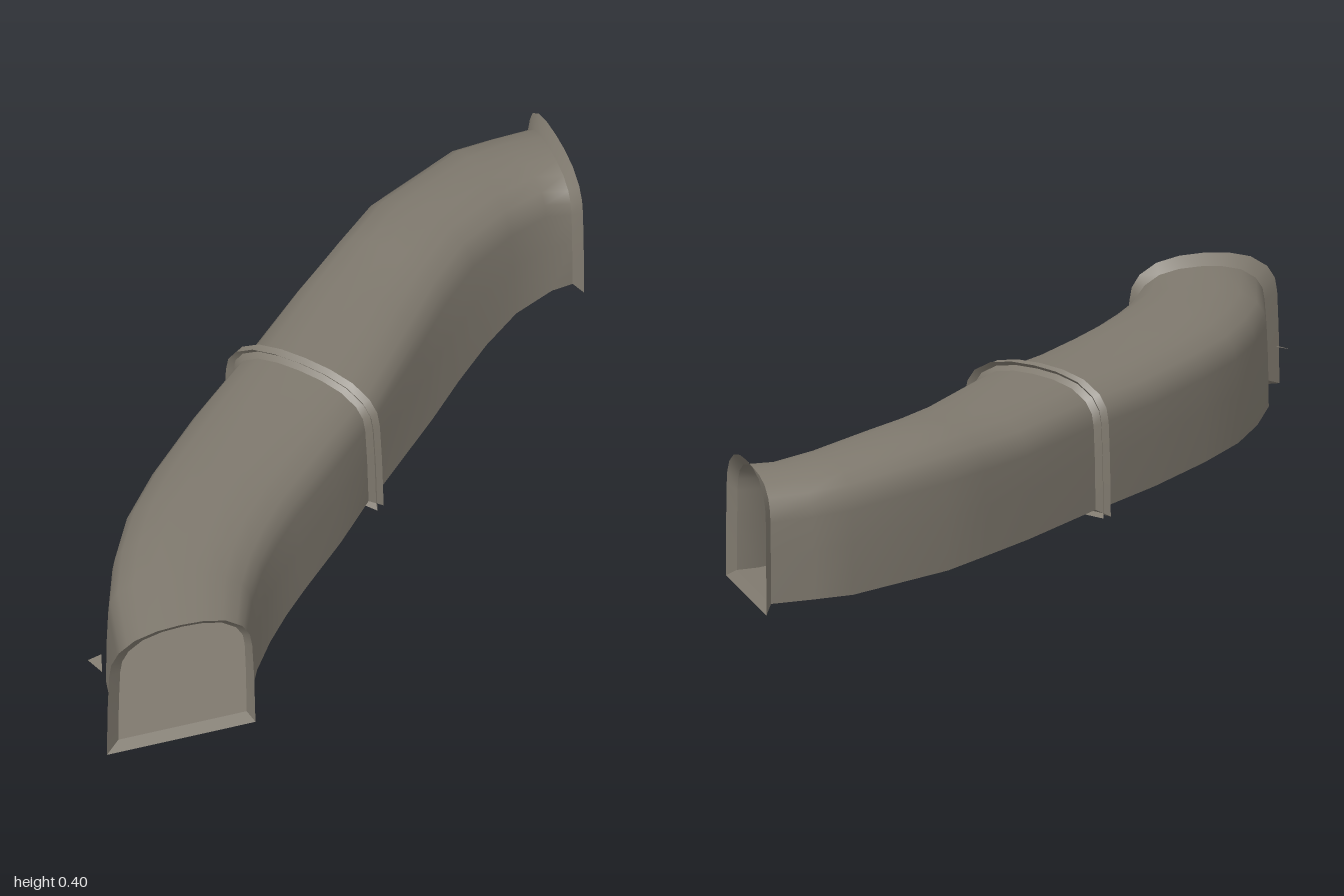
import * as THREE from 'three';

// Half-arch cross-section: [fraction across, fraction of height]
const half = [[0, 0], [0.005, 0.4], [0.015, 0.68], [0.03, 0.78], [0.08, 0.87], [0.19, 0.95], [0.34, 0.99]];
const arch = [...half, [0.5, 1], ...half.map(([u, h]) => [1 - u, h]).reverse()];
const floorLine = [[1, 0], [0, 0]];

// Station: [outer x, outer z, inner x, inner z, base y, top y, inward lean of inner wall]
const frontMouth = [-0.955, 0.97, -0.575, 0.97, 0.02, 0.36, 0];
const frontRim = [-1, 1, -0.56, 1, 0, 0.39, 0.01];
const backMouth = [0.975, -0.955, 0.975, -0.585, 0.02, 0.36, 0.01];
const backRim = [1, -1, 1, -0.56, 0, 0.39, 0.01];

// Joint between the two pipes, moved along the axis and widened
function joint(along, grow, base, top) {
  const ax = 0.826, az = -0.565, cx = 0.565, cz = 0.826;
  return [-0.16 + ax * along - cx * grow, -0.22 + az * along - cz * grow,
    0.1 + ax * along + cx * grow, 0.16 + az * along + cz * grow, base, top, 0.015];
}

const frontPipe = [
  frontMouth,
  [-0.89, 0.7, -0.48, 0.8, 0.02, 0.365, 0.03],
  [-0.81, 0.52, -0.4, 0.69, 0.02, 0.37, 0.05],
  [-0.71, 0.35, -0.315, 0.59, 0.02, 0.37, 0.06],
  [-0.57, 0.18, -0.22, 0.49, 0.02, 0.37, 0.07],
  [-0.37, -0.03, -0.05, 0.32, 0.02, 0.365, 0.06],
  joint(-0.015, 0, 0.02, 0.37, 0.015),
];
const backPipe = [
  joint(0.015, 0, 0.02, 0.37, 0.015),
  [0.11, -0.48, 0.39, -0.13, 0.02, 0.37, 0.1],
  [0.27, -0.62, 0.52, -0.27, 0.02, 0.38, 0.13],
  [0.41, -0.74, 0.65, -0.4, 0.02, 0.388, 0.13],
  [0.73, -0.92, 0.78, -0.51, 0.02, 0.375, 0.1],
  [0.85, -0.94, 0.91, -0.575, 0.02, 0.365, 0.1],
  backMouth,
];

// Skin a cross-section line through a run of stations
function loft(stations, line) {
  const pos = [], index = [], n = line.length;
  stations.forEach(([ox, oz, ix, iz, base, top, lean], s) => {
    line.forEach(([u, h], k) => {
      const v = u * (1 - lean * h);
      pos.push(ox + (ix - ox) * v, base + (top - base) * h, oz + (iz - oz) * v);
      if (s && k) {
        const d = s * n + k, c = d - 1, b = d - n, a = b - 1;
        index.push(a, b, c, b, d, c);
      }
    });
  });
  const g = new THREE.BufferGeometry();
  g.setAttribute('position', new THREE.Float32BufferAttribute(pos, 3));
  g.setIndex(index);
  g.computeVertexNormals();
  return g;
}

export function createModel() {
  const group = new THREE.Group();
  const metal = new THREE.MeshStandardMaterial({ color: 0x7f796e, side: THREE.DoubleSide });
  metal.name = 'greyBrownMetal';

  const add = (name, geometry) => {
    const mesh = new THREE.Mesh(geometry, metal);
    mesh.name = name;
    group.add(mesh);
  };
  const addSection = (name, stations) => {
    add(name + 'Shell', loft(stations, arch));
    add(name + 'Floor', loft(stations, floorLine));
  };

  // Two curved tunnel pipes
  addSection('frontPipe', frontPipe);
  addSection('backPipe', backPipe);

  // Flared collars at both mouths, and two crossing ones at the joint
  addSection('frontCollar', [frontRim, frontMouth]);
  addSection('backCollar', [backMouth, backRim]);
  addSection('jointCollarFront', [frontPipe[frontPipe.length - 1], joint(0.015, 0.03, 0, 0.395)]);
  addSection('jointCollarBack', [joint(-0.015, 0.03, 0, 0.395), backPipe[0]]);

  // Small loose sliver beside the front mouth
  const sliver = new THREE.BufferGeometry();
  sliver.setAttribute('position', new THREE.Float32BufferAttribute(
    [-0.97, 0.16, 0.77, -0.95, 0.155, 0.83, -0.93, 0.17, 0.77], 3));
  sliver.computeVertexNormals();
  add('sliver', sliver);

  return group;
}
